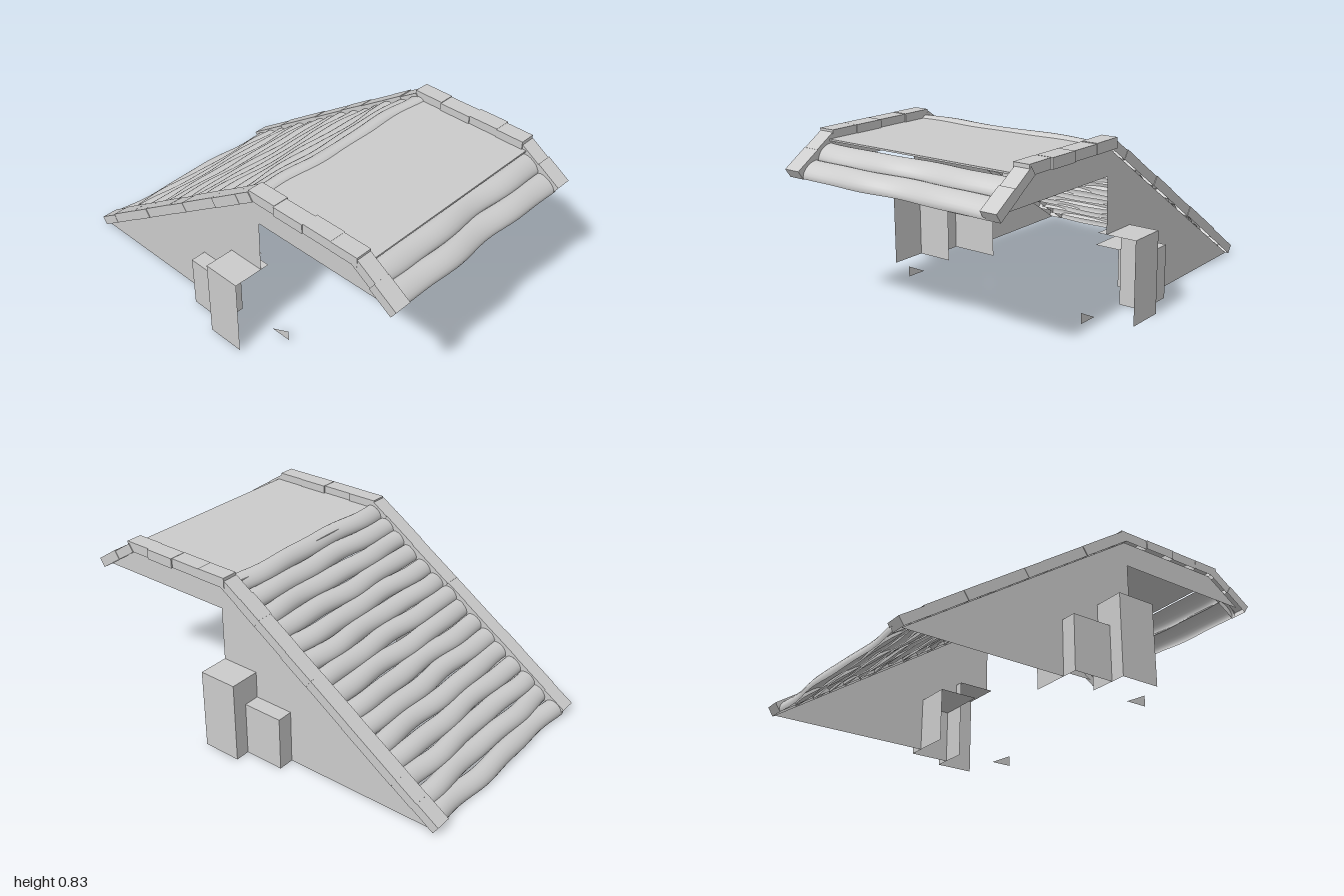
import * as THREE from 'three';

const mat = new THREE.MeshStandardMaterial({ color: 0xcccccc, side: THREE.DoubleSide });
const flat = new THREE.MeshStandardMaterial({ color: 0xcccccc, side: THREE.DoubleSide, flatShading: true });

// corners of the ramp, as seen from the front
const FOOT = [-0.975, 0.002], CREST = [0.19, 0.78], BREAK = [0.75, 0.78], LIP = [0.97, 0.637];

let seed = 7;
const rand = () => (seed = (seed * 16807) % 2147483647) / 2147483647;
const jitter = (a) => (rand() * 2 - 1) * a;

function add(group, name, geometry, material = flat) {
  const mesh = new THREE.Mesh(geometry, material);
  mesh.name = name;
  group.add(mesh);
  return mesh;
}

// frame of a straight run: point at distance d along it, raised by h
function run(a, b) {
  const dx = b[0] - a[0], dy = b[1] - a[1], length = Math.hypot(dx, dy);
  const c = dx / length, s = dy / length;
  return { length, angle: Math.atan2(dy, dx), at: (d, h) => [a[0] + c * d - s * h, a[1] + s * d + c * h] };
}

// box without its underside
function openBox(w, h, d) {
  const geo = new THREE.BoxGeometry(w, h, d);
  const index = Array.from(geo.index.array);
  index.splice(18, 6);
  geo.setIndex(index);
  geo.clearGroups();
  return geo;
}

// row of slightly uneven coping stones on one side
function stones(group, a, b, fractions, side) {
  const r = run(a, b);
  for (let i = 0; i < fractions.length - 1; i++) {
    const from = fractions[i] * r.length, to = fractions[i + 1] * r.length;
    const height = 0.047 + jitter(0.003);
    const stone = add(group, 'copingStone', openBox(to - from, height, 0.082 + jitter(0.004)));
    const [x, y] = r.at((from + to) / 2, height / 2);
    stone.position.set(x, y, side * (0.551 + jitter(0.004)));
    stone.rotation.z = r.angle + jitter(0.008);
  }
}

// crooked half-round logs laid side by side across a run, hollow below
function logs(group, a, b, count, start, pitch, height) {
  const r = run(a, b);
  for (let i = 0; i < count; i++) {
    const middle = start + (i + 0.5) * pitch;
    const p1 = rand() * 6.28, p2 = rand() * 6.28;
    const geo = new THREE.PlaneGeometry(1, 1, 10, 28);
    const p = geo.attributes.position;
    for (let v = 0; v < p.count; v++) {
      const t = p.getX(v) * Math.PI, z = -p.getY(v) * 1.05;
      const swell = 1 + 0.07 * Math.sin(z * 13 + p2);
      const [x, y] = r.at(middle + Math.sin(t) * pitch * 0.52, Math.cos(t) * height * swell);
      const bend = 0.007 * Math.sin(z * 9 + p1) + 0.004 * Math.sin(z * 17 + p2);
      p.setXYZ(v, x + bend, Math.max(0, y), z);
    }
    geo.computeVertexNormals();
    add(group, 'log', geo, mat);
  }
}

// open-backed buttress: top, outer face and the face toward the ramp foot
function buttress(group, x0, x1, height, inner, outer, side) {
  const w = x1 - x0, d = outer - inner, cx = (x0 + x1) / 2, cz = side * (inner + outer) / 2;
  const top = add(group, 'buttressTop', new THREE.PlaneGeometry(w, d));
  top.rotation.x = -Math.PI / 2;
  top.position.set(cx, height, cz);
  const face = add(group, 'buttressFace', new THREE.PlaneGeometry(w, height));
  face.rotation.y = side > 0 ? 0 : Math.PI;
  face.position.set(cx, height / 2, side * outer);
  const end = add(group, 'buttressEnd', new THREE.PlaneGeometry(d, height));
  end.rotation.y = -Math.PI / 2;
  end.position.set(x0, height / 2, cz);
}

const shape = (pts) => new THREE.Shape(pts.map(([x, y]) => new THREE.Vector2(x, y)));

export function createModel() {
  const model = new THREE.Group();
  model.name = 'logRamp';

  // side wall outline, notched where the buttresses open into it
  const wallShape = shape([FOOT, [-0.19, 0], [-0.19, 0.265], [0.01, 0.265], [0.01, 0.397], [0.203, 0.397],
    [0.203, 0.66], [0.934, 0.66], LIP, BREAK, CREST]);
  const chipShape = shape([[0.21, 0], [0.318, 0], [0.318, 0.053]]);

  for (const side of [1, -1]) {
    const half = new THREE.Group();
    half.name = side > 0 ? 'frontSide' : 'backSide';
    model.add(half);

    add(half, 'sideWall', new THREE.ShapeGeometry(wallShape)).position.z = side * 0.572;
    add(half, 'groundChip', new THREE.ShapeGeometry(chipShape)).position.z = side * 0.52;

    buttress(half, -0.19, 0.01, 0.265, 0.39, 0.65, side);
    buttress(half, 0.01, 0.203, 0.397, 0.527, 0.722, side);

    // coping along the ramp, the platform and the short descent
    const joints = side > 0 ? [0, 0.095, 0.25, 0.345, 0.51, 0.6, 0.79, 0.93, 1] : [0, 0.095, 0.185, 0.415, 0.58, 0.7, 0.83, 0.92, 1];
    stones(half, FOOT, CREST, joints, side);
    stones(half, [0.163, 0.78], [0.785, 0.78], [0, 0.25, 0.52, 0.77, 1], side);
    stones(half, BREAK, LIP, [0, 0.47, 1], side);
  }

  // log ramp and short descent
  const deck = new THREE.Group();
  deck.name = 'logDeck';
  model.add(deck);
  logs(deck, FOOT, CREST, 15, 0, 0.0945, 0.036);
  logs(deck, BREAK, LIP, 2, 0.04, 0.109, 0.032);

  // level platform
  const platform = add(model, 'platform', new THREE.BoxGeometry(0.66, 0.008, 1.05));
  platform.position.set(0.475, 0.785, 0);

  return model;
}
